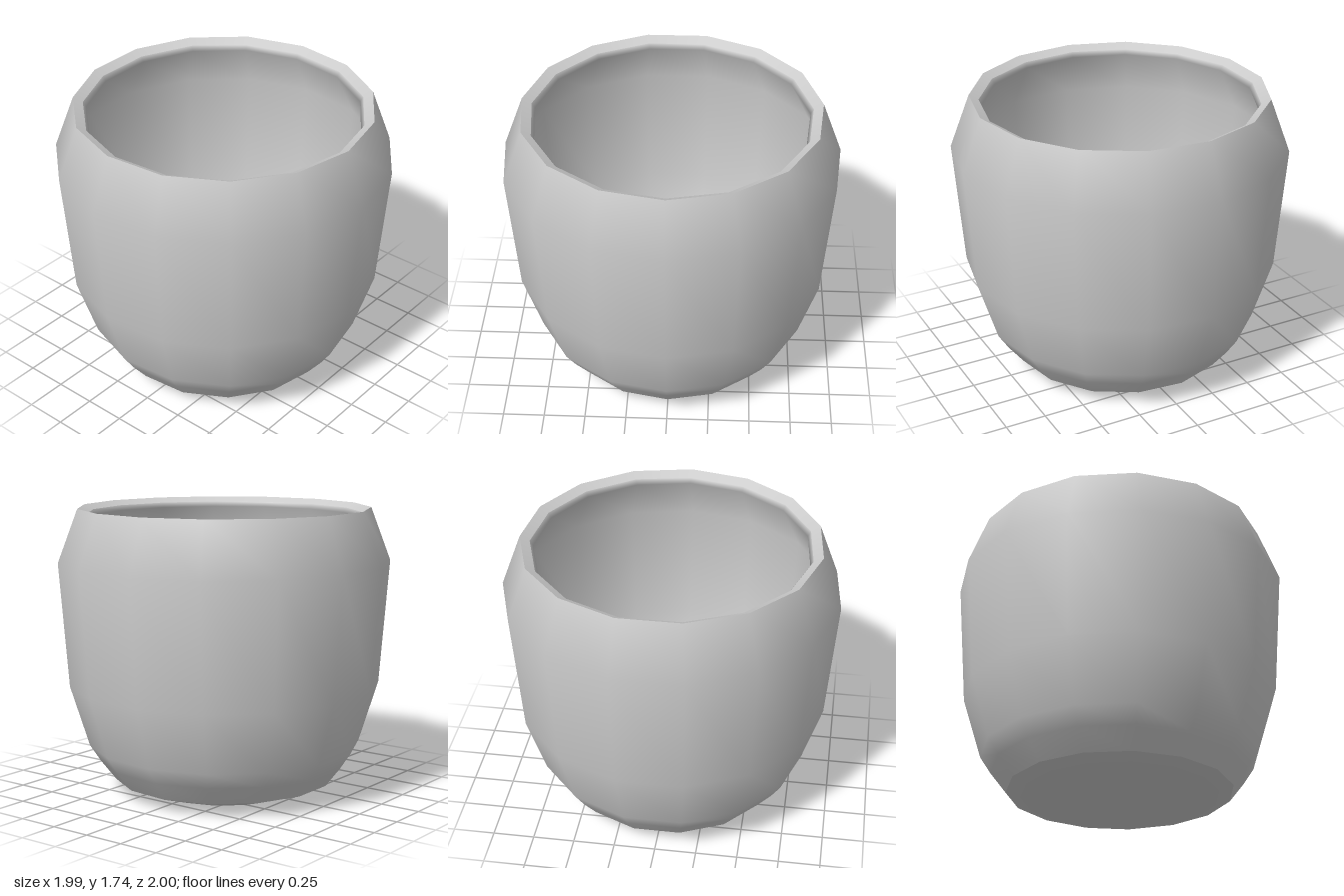
import * as THREE from 'three';

const SIDES = 15;

export function createModel() {
  const model = new THREE.Group();
  model.name = 'cup';
  const material = new THREE.MeshStandardMaterial({ color: 0xcccccc });

  // Each part is a smooth band turned about y; edges between parts stay sharp.
  // Profiles run from the base centre outward, over the rim and back inside.
  const profiles = {
    base: [[0, 0], [0.435, 0], [0.675, 0.08]],
    outerWall: [[0.675, 0.08], [0.768, 0.2], [0.833, 0.3], [0.948, 0.67], [1.0055, 1.42], [0.885, 1.74]],
    rim: [[0.885, 1.74], [0.828, 1.71]],
    innerWall: [
      [0.828, 1.71], [0.81, 1.68], [0.945, 1.41], [0.89, 0.68],
      [0.78, 0.33], [0.715, 0.24], [0.61, 0.14],
    ],
    floor: [[0.61, 0.14], [0.42, 0.07], [0, 0.06]],
  };

  for (const [name, profile] of Object.entries(profiles)) {
    const points = profile.map(([r, y]) => new THREE.Vector2(r, y));
    // One corner points to +x
    const geometry = new THREE.LatheGeometry(points, SIDES, Math.PI / 2);
    const mesh = new THREE.Mesh(geometry, material);
    mesh.name = name;
    // Odd side count: shift so the bounds are centred
    mesh.position.x = -0.011;
    model.add(mesh);
  }
  return model;
}
